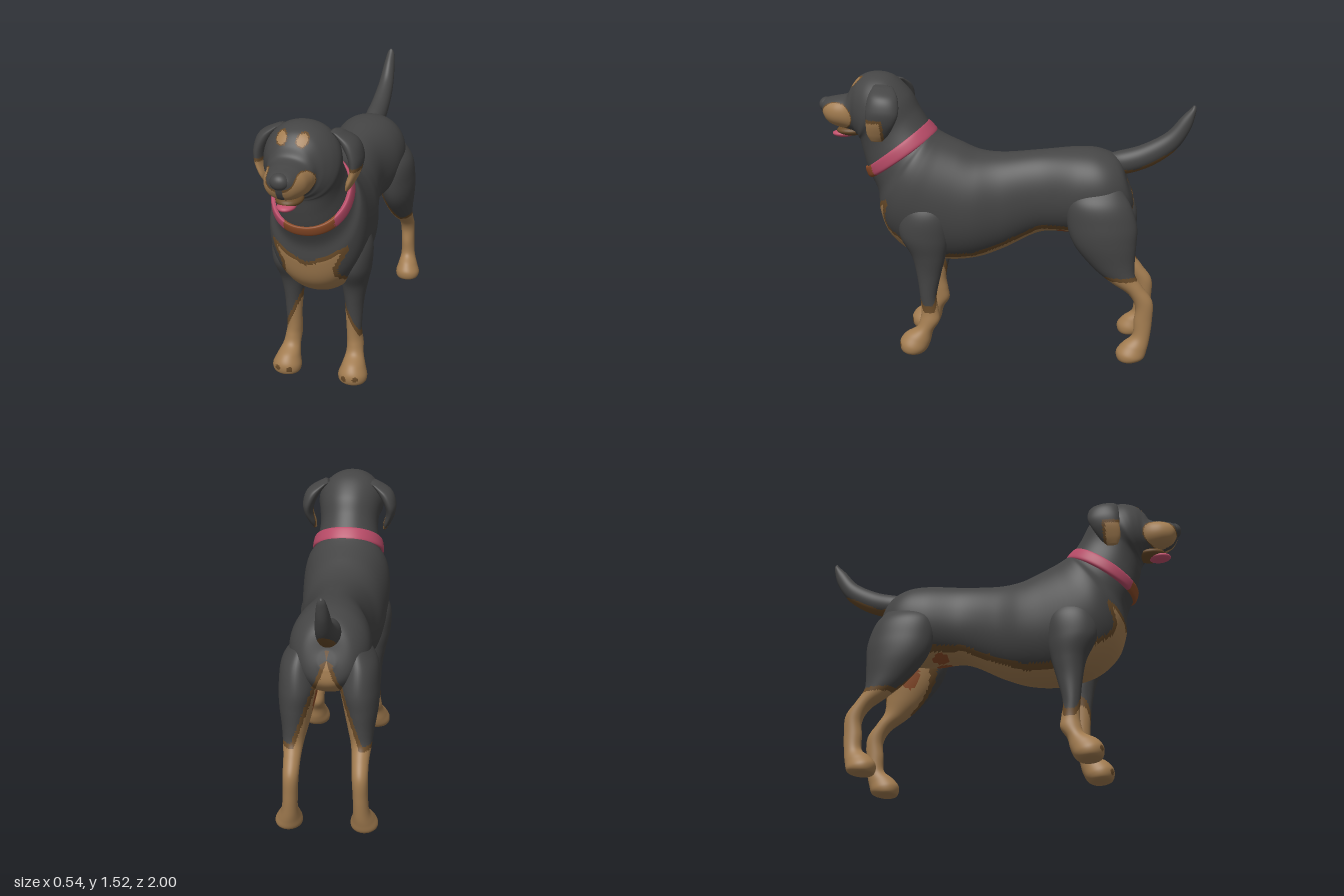
import * as THREE from 'three';

const mat = (name, color) => {
  const m = new THREE.MeshStandardMaterial({ color });
  m.name = name;
  return m;
};
const materials = [
  mat('charcoal coat', 0x454545),
  mat('tan markings', 0xa27c50),
  mat('brown marking edge', 0x694b29),
  mat('rose collar', 0xb64a66),
  mat('rust', 0x8d4c28),
  mat('pink tongue', 0xc0506c),
];
const [COAT, TAN, EDGE, ROSE, RUST, PINK] = [0, 1, 2, 3, 4, 5];

// Marking with a thin darker edge: d is the depth inside the marking
const marking = (d, edge = 0.02) => (d > edge ? TAN : d > 0 ? EDGE : COAT);
const ball = (p, x, y, z) => Math.hypot(p.x - x, p.y - y, p.z - z);

// Straight-line lookup in a short table of [key, value]
function lookup(table, k) {
  if (k <= table[0][0]) return table[0][1];
  for (let i = 1; i < table.length; i++) {
    const [k0, v0] = table[i - 1], [k1, v1] = table[i];
    if (k <= k1) return v0 + (v1 - v0) * (k - k0) / (k1 - k0);
  }
  return table[table.length - 1][1];
}

// Smooth skin over rings. Each row: z, y of one edge, z, y of the opposite edge, half width, centre x
function loft(name, rows, colour, { sub = 8, seg = 48, power = 1, side = 1 } = {}) {
  const V = (a, b, c) => new THREE.Vector3(a, b, c);
  const edgeA = new THREE.CatmullRomCurve3(rows.map(r => V(r[5] || 0, r[1], r[0])), false, 'catmullrom');
  const edgeB = new THREE.CatmullRomCurve3(rows.map(r => V(r[4], r[3], r[2])), false, 'catmullrom');
  const n = (rows.length - 1) * sub, pts = [], buckets = materials.map(() => []);
  for (let i = 0; i <= n; i++) {
    const a = edgeA.getPoint(i / n), b = edgeB.getPoint(i / n);
    const w = i === 0 || i === n ? 0 : Math.max(b.x, 0.001), k = w ? 0.5 : 0;
    for (let j = 0; j < seg; j++) {
      const t = (j / seg) * Math.PI * 2;
      const c = Math.sign(Math.cos(t)) * Math.abs(Math.cos(t)) ** power * k;
      const s = Math.sign(Math.sin(t)) * Math.abs(Math.sin(t)) ** power * w;
      pts.push(V(side * a.x + s, (a.y + b.y) / 2 + c * (a.y - b.y), (a.z + b.z) / 2 + c * (a.z - b.z)));
    }
  }
  const mid = new THREE.Vector3();
  const face = (a, b, c) => {
    mid.copy(pts[a]).add(pts[b]).add(pts[c]).divideScalar(3);
    buckets[colour(mid)].push(a, b, c);
  };
  for (let i = 0; i < n; i++) for (let j = 0; j < seg; j++) {
    const a = i * seg + j, b = i * seg + (j + 1) % seg;
    if (i < n - 1) face(a, a + seg, b + seg);
    else face(a, a + seg, b);
    if (i > 0 && i < n - 1) face(a, b + seg, b);
  }
  const g = new THREE.BufferGeometry().setFromPoints(pts);
  g.setIndex(buckets.flat());
  let start = 0;
  buckets.forEach((list, m) => {
    if (list.length) g.addGroup(start, list.length, m);
    start += list.length;
  });
  g.computeVertexNormals();
  const mesh = new THREE.Mesh(g, materials);
  mesh.name = name;
  return mesh;
}

function ellipsoid(name, m, x, y, z, rx, ry, rz) {
  const mesh = new THREE.Mesh(new THREE.SphereGeometry(1, 28, 18), materials[m]);
  mesh.name = name;
  mesh.position.set(x, y, z);
  mesh.scale.set(rx, ry, rz);
  return mesh;
}

// Trunk, neck and head in one skin, from rump to nose
const bodyRows = [
  [-0.66, 0.96, -0.69, 0.9, 0.03], [-0.615, 1.08, -0.685, 0.8, 0.13], [-0.52, 1.13, -0.58, 0.72, 0.195],
  [-0.4, 1.14, -0.4, 0.68, 0.2], [-0.2, 1.12, -0.2, 0.67, 0.157], [0, 1.1, 0, 0.57, 0.185],
  [0.13, 1.11, 0.15, 0.515, 0.22], [0.23, 1.15, 0.32, 0.5, 0.235], [0.3, 1.18, 0.5, 0.54, 0.245],
  [0.34, 1.2, 0.62, 0.64, 0.245], [0.365, 1.215, 0.67, 0.77, 0.23], [0.38, 1.225, 0.68, 0.88, 0.2],
  [0.4, 1.25, 0.73, 0.99, 0.18], [0.45, 1.33, 0.755, 1.08, 0.165], [0.5, 1.42, 0.77, 1.15, 0.17],
  [0.59, 1.5, 0.775, 1.165, 0.185, -0.005], [0.68, 1.52, 0.78, 1.175, 0.172, -0.01],
  [0.76, 1.5, 0.79, 1.18, 0.145, -0.015], [0.81, 1.45, 0.8, 1.19, 0.12, -0.02],
  [0.84, 1.4, 0.84, 1.205, 0.11, -0.02], [0.9, 1.385, 0.9, 1.22, 0.1, -0.02],
  [0.95, 1.375, 0.945, 1.24, 0.077, -0.02], [0.978, 1.36, 0.968, 1.27, 0.05, -0.02],
  [0.985, 1.33, 0.98, 1.3, 0.01, -0.02],
];
const bellyLine = [[-0.6, 0.74], [-0.4, 0.74], [-0.2, 0.735], [0, 0.635], [0.15, 0.575], [0.32, 0.565], [0.5, 0.6]];

function bodyColour(p) {
  const ax = Math.abs(p.x);
  if (p.z > 0.74 && p.y > 1.1) {
    // Brow spots and muzzle patches
    if (p.y > 1.43) return marking(0.03 - Math.hypot(Math.abs(p.x + 0.02) - 0.05, p.y - 1.47), 0.006);
    if (Math.abs(p.x + 0.02) < 0.016) return COAT;
    return marking(1 - ((p.z - 0.89) / 0.09) ** 2 - ((p.y - 1.285) / 0.078) ** 2, 0.12);
  }
  if (p.y > 1) return COAT;
  if (p.z > 0.45) {
    // Chest patch
    const width = 0.17 + 0.025 * Math.cos((p.y - 0.6) * 24);
    return marking(Math.min(width - ax, 0.785 + 0.45 * ax - p.y), 0.024);
  }
  if (p.z < -0.55) return marking((0.98 - p.y) * 0.36 - ax);
  if (Math.hypot(ax - 0.05, p.z + 0.33) < 0.045 && p.y < 0.75) return RUST;
  return marking(lookup(bellyLine, p.z) - p.y, 0.028);
}

const collarRows = [
  [0.375, 1.2, 0.7, 0.965, 0.17], [0.36, 1.205, 0.715, 0.955, 0.197], [0.367, 1.224, 0.733, 0.963, 0.204],
  [0.404, 1.262, 0.748, 1.005, 0.194], [0.41, 1.25, 0.73, 1.01, 0.17],
];
const tailRows = [
  [-0.6, 1.02, -0.54, 1.1, 0.03], [-0.65, 1.0, -0.6, 1.12, 0.055], [-0.78, 1.045, -0.72, 1.155, 0.052],
  [-0.9, 1.13, -0.85, 1.225, 0.043], [-0.97, 1.235, -0.93, 1.315, 0.032], [-0.998, 1.33, -0.975, 1.36, 0.02],
  [-1.0, 1.37, -0.985, 1.375, 0.005],
].map(r => [...r, -0.012]);
const frontLegRows = [
  [0.48, 0.92, 0.34, 0.92, 0.03, 0.16], [0.53, 0.8, 0.28, 0.8, 0.075, 0.18], [0.54, 0.68, 0.28, 0.66, 0.08, 0.178],
  [0.48, 0.56, 0.3, 0.55, 0.066, 0.168], [0.455, 0.45, 0.325, 0.45, 0.05, 0.165], [0.44, 0.33, 0.35, 0.33, 0.042, 0.165],
  [0.435, 0.25, 0.34, 0.25, 0.04, 0.165], [0.44, 0.2, 0.335, 0.19, 0.043, 0.17], [0.46, 0.15, 0.37, 0.13, 0.047, 0.175],
  [0.52, 0.115, 0.385, 0.07, 0.062, 0.18], [0.552, 0.07, 0.405, 0.025, 0.077, 0.182],
  [0.545, 0.02, 0.43, 0.004, 0.065, 0.182], [0.51, 0.002, 0.46, 0.0, 0.02, 0.182],
];
const hindLegRows = [
  [-0.4, 0.97, -0.6, 0.99, 0.03, 0.13], [-0.35, 0.88, -0.675, 0.88, 0.085, 0.15], [-0.35, 0.76, -0.715, 0.76, 0.1, 0.152],
  [-0.39, 0.65, -0.715, 0.66, 0.09, 0.16], [-0.49, 0.53, -0.71, 0.56, 0.068, 0.165], [-0.59, 0.45, -0.715, 0.49, 0.052, 0.17],
  [-0.68, 0.39, -0.755, 0.43, 0.043, 0.17], [-0.72, 0.32, -0.81, 0.35, 0.04, 0.172], [-0.715, 0.24, -0.812, 0.24, 0.038, 0.175],
  [-0.71, 0.16, -0.802, 0.14, 0.041, 0.18], [-0.66, 0.115, -0.79, 0.08, 0.056, 0.187], [-0.627, 0.07, -0.775, 0.035, 0.07, 0.192],
  [-0.635, 0.025, -0.74, 0.018, 0.058, 0.192], [-0.67, 0.018, -0.71, 0.018, 0.02, 0.192],
];
const earRows = [
  [0.66, 1.48, 0.57, 1.47, 0.02, 0.13], [0.68, 1.43, 0.53, 1.42, 0.042, 0.195], [0.69, 1.36, 0.52, 1.35, 0.036, 0.23],
  [0.69, 1.29, 0.54, 1.29, 0.026, 0.235], [0.69, 1.23, 0.58, 1.225, 0.02, 0.215], [0.67, 1.185, 0.62, 1.185, 0.008, 0.2],
];

function frontLegColour(p) {
  const ax = Math.abs(p.x);
  // Toenails
  if (Math.min(ball({ ...p, x: ax }, 0.15, 0.05, 0.545), ball({ ...p, x: ax }, 0.21, 0.055, 0.54)) < 0.017) return EDGE;
  return marking(0.28 + Math.max(0, 0.2 - ax) * 2.2 - p.y, 0.04);
}
function hindLegColour(p) {
  const ax = Math.abs(p.x);
  if (ax < 0.12 && Math.hypot((p.z + 0.55) / 0.06, (p.y - 0.68) / 0.09) < 1) return RUST;
  return marking(Math.max(0.49 - p.y, (0.98 - p.y) * 0.36 - ax), 0.022);
}

export function createModel() {
  const dog = new THREE.Group();
  dog.name = 'dog';
  dog.add(
    loft('body', bodyRows, bodyColour, { sub: 9, seg: 96, power: 0.95 }),
    loft('collar', collarRows, p => (p.z > 0.58 && p.x > -0.09 && p.x < 0.15 ? RUST : ROSE), { sub: 6, seg: 96, power: 0.95 }),
    loft('tail', tailRows, p => marking(1.03 + Math.max(0, -0.7 - p.z) * 0.55 - p.y, 0.03)),
    ellipsoid('nose', COAT, -0.02, 1.335, 0.962, 0.046, 0.04, 0.038),
    ellipsoid('lowerJaw', EDGE, -0.02, 1.197, 0.83, 0.066, 0.028, 0.08),
    ellipsoid('tongue', PINK, -0.02, 1.178, 0.875, 0.045, 0.02, 0.06),
  );
  // Paired parts
  for (const [label, side] of [['left', 1], ['right', -1]]) {
    dog.add(
      loft(label + 'FrontLeg', frontLegRows, frontLegColour, { side }),
      loft(label + 'HindLeg', hindLegRows, hindLegColour, { side }),
      loft(label + 'Ear', earRows, p => marking(Math.min(1.31 - p.y, p.z - 0.6), 0.015), { side }),
    );
  }
  return dog;
}
